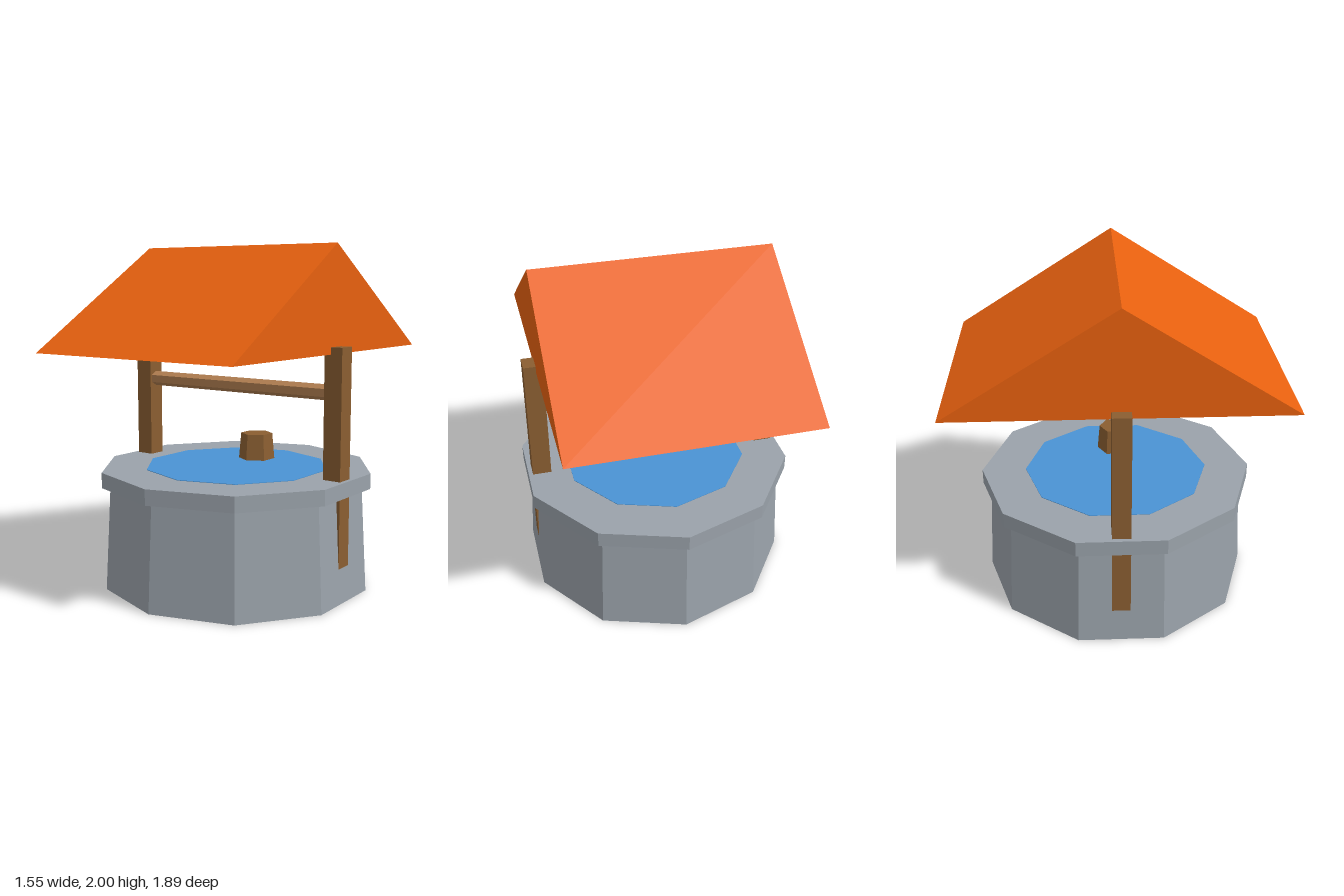
import * as THREE from 'three';

const flat = (name, color, extra = {}) => {
  const m = new THREE.MeshStandardMaterial({ color, flatShading: true, ...extra });
  m.name = name;
  return m;
};

export function createModel() {
  const stone = flat('stone grey', 0x9aa2aa);
  const wood = flat('dark wood', 0x8a5e31);
  const lightWood = flat('light wood', 0xb27f51);
  const water = flat('water blue', 0x4a93d4);
  const tile = flat('roof orange', 0xe8610f, { side: THREE.DoubleSide });

  const well = new THREE.Group();
  well.name = 'well';
  const add = (name, geometry, material, x = 0, y = 0, z = 0) => {
    const mesh = new THREE.Mesh(geometry, material);
    mesh.name = name;
    mesh.position.set(x, y, z);
    well.add(mesh);
    return mesh;
  };

  // Ten-sided stone wall with a wider rim, and the water surface
  add('wall', new THREE.CylinderGeometry(0.765, 0.8, 0.62, 10), stone, 0, 0.31);
  add('rim', new THREE.CylinderGeometry(0.815, 0.815, 0.09, 10), stone, 0, 0.655);
  add('water', new THREE.CylinderGeometry(0.55, 0.55, 0.008, 10), water, 0, 0.699);

  // Posts reach the ground and break through the sloping wall
  for (const side of [-1, 1]) {
    add(side > 0 ? 'leftPost' : 'rightPost',
      new THREE.BoxGeometry(0.11, 1.435, 0.105), wood, side * 0.695, 0.7225);
  }

  // Six-sided crossbeam
  const beam = new THREE.CylinderGeometry(0.045, 0.045, 1.36, 6);
  beam.rotateY(Math.PI / 6).rotateZ(Math.PI / 2);
  add('crossbeam', beam, lightWood, 0, 1.185);

  // Bucket, wider at the bottom
  add('bucket', new THREE.CylinderGeometry(0.092, 0.105, 0.15, 6), wood, 0.15, 0.835);

  // Gabled roof: two slopes and two gable ends, open underneath
  const X = 0.68, Z = 0.945, eave = 1.4, ridge = 2;
  const corners = [
    -X, eave, Z, X, eave, Z, X, eave, -Z, -X, eave, -Z,
    -X, ridge, 0, X, ridge, 0,
  ];
  const roof = new THREE.BufferGeometry();
  roof.setAttribute('position', new THREE.Float32BufferAttribute(corners, 3));
  roof.setIndex([
    0, 1, 5, 0, 5, 4, // front slope
    2, 3, 4, 2, 4, 5, // back slope
    1, 2, 5, 3, 0, 4, // gable ends
  ]);
  const roofFaces = roof.toNonIndexed();
  roofFaces.computeVertexNormals();
  add('roof', roofFaces, tile);

  return well;
}
